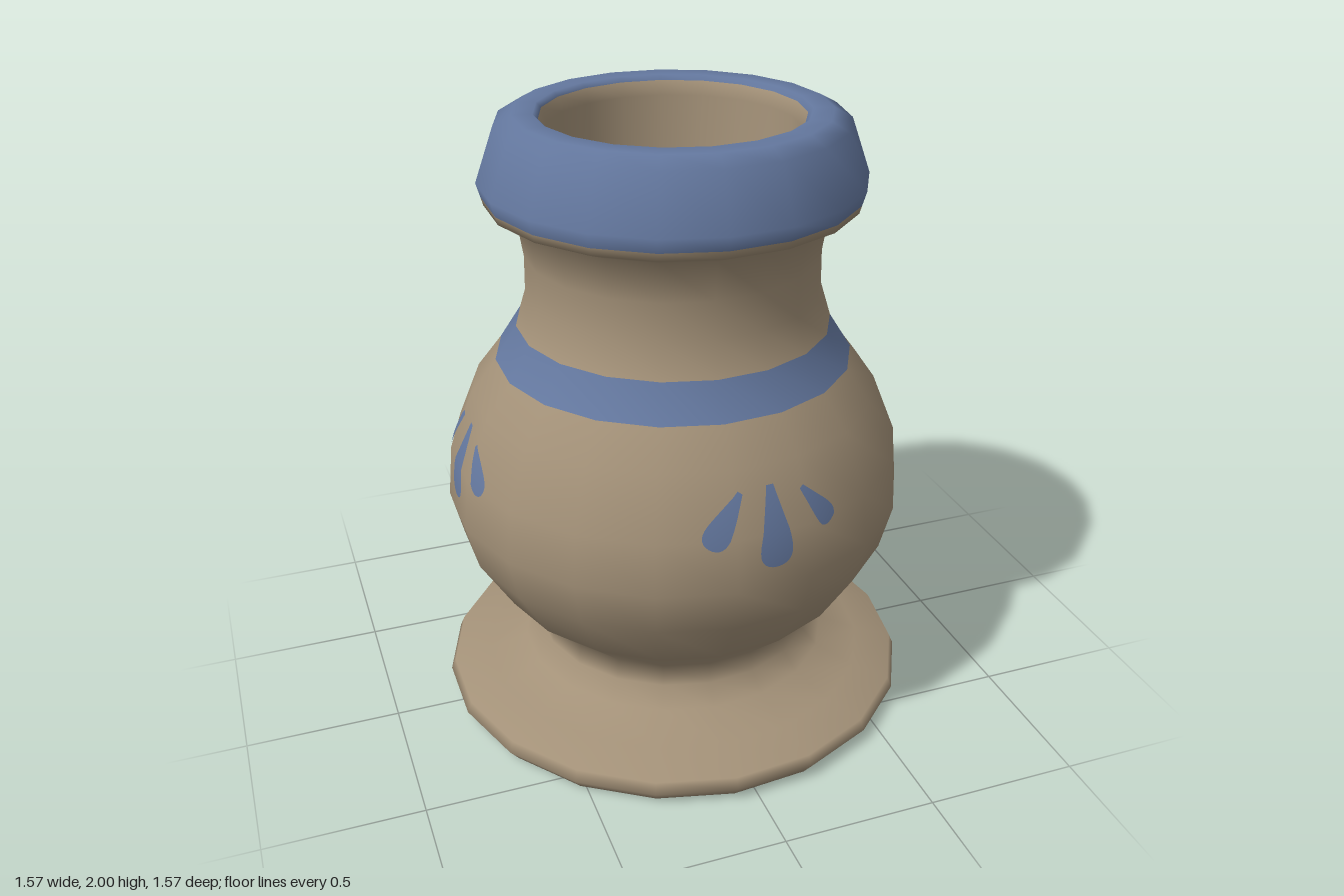
import * as THREE from 'three';

const SIDES = 19;
const clay = new THREE.MeshStandardMaterial({ color: 0xa39178 });
clay.name = 'clay';
const blue = new THREE.MeshStandardMaterial({ color: 0x64789f });
blue.name = 'blue glaze';

// Profile rows: radius, height, and 1 where the band up to the next row is blue
const BODY = [
  // underside and foot
  [0, 0], [0.755, 0], [0.79, 0.045], [0.775, 0.08],
  [0.65, 0.11], [0.52, 0.16], [0.468, 0.22], [0.458, 0.29],
  // belly, with the painted band at its shoulder
  [0.60, 0.42], [0.71, 0.60], [0.748, 0.75], [0.732, 0.92], [0.655, 1.11],
  [0.572, 1.22, 1], [0.502, 1.33],
  // neck and painted rim
  [0.468, 1.44], [0.466, 1.56], [0.486, 1.69], [0.58, 1.73], [0.587, 1.755, 1],
  [0.60, 1.80, 1], [0.54, 1.97, 1], [0.485, 2.0, 1], [0.42, 2.0, 1],
  // mouth and hollow inside, following the outer wall
  [0.405, 1.985], [0.39, 1.94], [0.384, 1.70], [0.357, 1.56], [0.357, 1.43],
  [0.40, 1.29], [0.54, 1.07], [0.62, 0.90], [0.635, 0.75], [0.60, 0.62],
  [0.50, 0.44], [0.35, 0.28], [0, 0.28],
];

// Lathe whose rings are sorted into a clay group and a blue group
function turned(name, rows) {
  const n = rows.length;
  const points = rows.map(([r, y]) => new THREE.Vector2(r, y));
  const geo = new THREE.LatheGeometry(points, SIDES, Math.PI / 2);
  const lists = [[], []];
  for (let j = 0; j < n - 1; j++) {
    const list = lists[rows[j][2] ? 1 : 0];
    for (let i = 0; i < SIDES; i++) {
      const a = i * n + j, b = a + n;
      if (rows[j][0] > 0) list.push(a, b, a + 1);
      if (rows[j + 1][0] > 0) list.push(b + 1, a + 1, b);
    }
  }
  geo.setIndex([...lists[0], ...lists[1]]);
  geo.clearGroups();
  geo.addGroup(0, lists[0].length, 0);
  geo.addGroup(lists[0].length, lists[1].length, 1);
  const mesh = new THREE.Mesh(geo, [clay, blue]);
  mesh.name = name;
  return mesh;
}

// Radius of the faceted belly at a height and angle
function bellyRadius(y, phi) {
  const k = BODY.findIndex((row) => row[1] > y);
  const [r0, y0] = BODY[k - 1], [r1, y1] = BODY[k];
  const r = r0 + (r1 - r0) * (y - y0) / (y1 - y0);
  const step = 2 * Math.PI / SIDES;
  const turns = (phi - Math.PI / 2) / step;
  const local = (turns - Math.floor(turns) - 0.5) * step;
  return r * Math.cos(step / 2) / Math.cos(local);
}

// Teardrop laid over the belly, from its narrow tip to its round end
function petal(phi0, [u0, v0, u1, v1, halfWidth]) {
  const rows = 14, cols = 6, pos = [], nor = [], idx = [];
  const len = Math.hypot(u1 - u0, v1 - v0);
  const du = (u1 - u0) / len, dv = (v1 - v0) / len;
  for (let i = 0; i <= rows; i++) {
    const t = Math.sin(i / rows * Math.PI / 2);
    const w = halfWidth * (0.2 + 0.97 * t) * Math.sqrt(Math.max(0, 1 - t ** 7));
    for (let j = 0; j <= cols; j++) {
      const s = (j / cols * 2 - 1) * w;
      const u = u0 + du * len * t - dv * s;
      const y = v0 + dv * len * t + du * s;
      const phi = phi0 + u / 0.72;
      const r = bellyRadius(y, phi) + 0.004;
      pos.push(r * Math.sin(phi), y, r * Math.cos(phi));
      const normal = new THREE.Vector3(Math.sin(phi), (y - 0.77) * 1.6, Math.cos(phi)).normalize();
      nor.push(...normal.toArray());
      if (i < rows && j < cols) {
        const a = i * (cols + 1) + j, b = a + cols + 1;
        idx.push(a, b, a + 1, b, b + 1, a + 1);
      }
    }
  }
  const geo = new THREE.BufferGeometry();
  geo.setAttribute('position', new THREE.Float32BufferAttribute(pos, 3));
  geo.setAttribute('normal', new THREE.Float32BufferAttribute(nor, 3));
  geo.setIndex(idx);
  const mesh = new THREE.Mesh(geo, blue);
  mesh.name = 'petal';
  return mesh;
}

// Tip, end and half width of the three petals in a motif
const PETALS = [
  [-0.1, 1.05, -0.205, 0.9, 0.046],
  [0.003, 1.055, 0.003, 0.81, 0.06],
  [0.108, 1.03, 0.2, 0.905, 0.04],
];

export function createModel() {
  const model = new THREE.Group();
  model.name = 'vase';
  model.add(turned('body', BODY));

  // A petal motif on each of the four sides
  [0.083, Math.PI / 2, Math.PI - 0.075, Math.PI * 1.5].forEach((phi) => {
    const motif = new THREE.Group();
    motif.name = 'petalMotif';
    PETALS.forEach((p) => motif.add(petal(phi, p)));
    model.add(motif);
  });

  // Centre the odd-sided outline
  model.children.forEach((part) => { part.position.x -= 0.0055; });
  return model;
}
